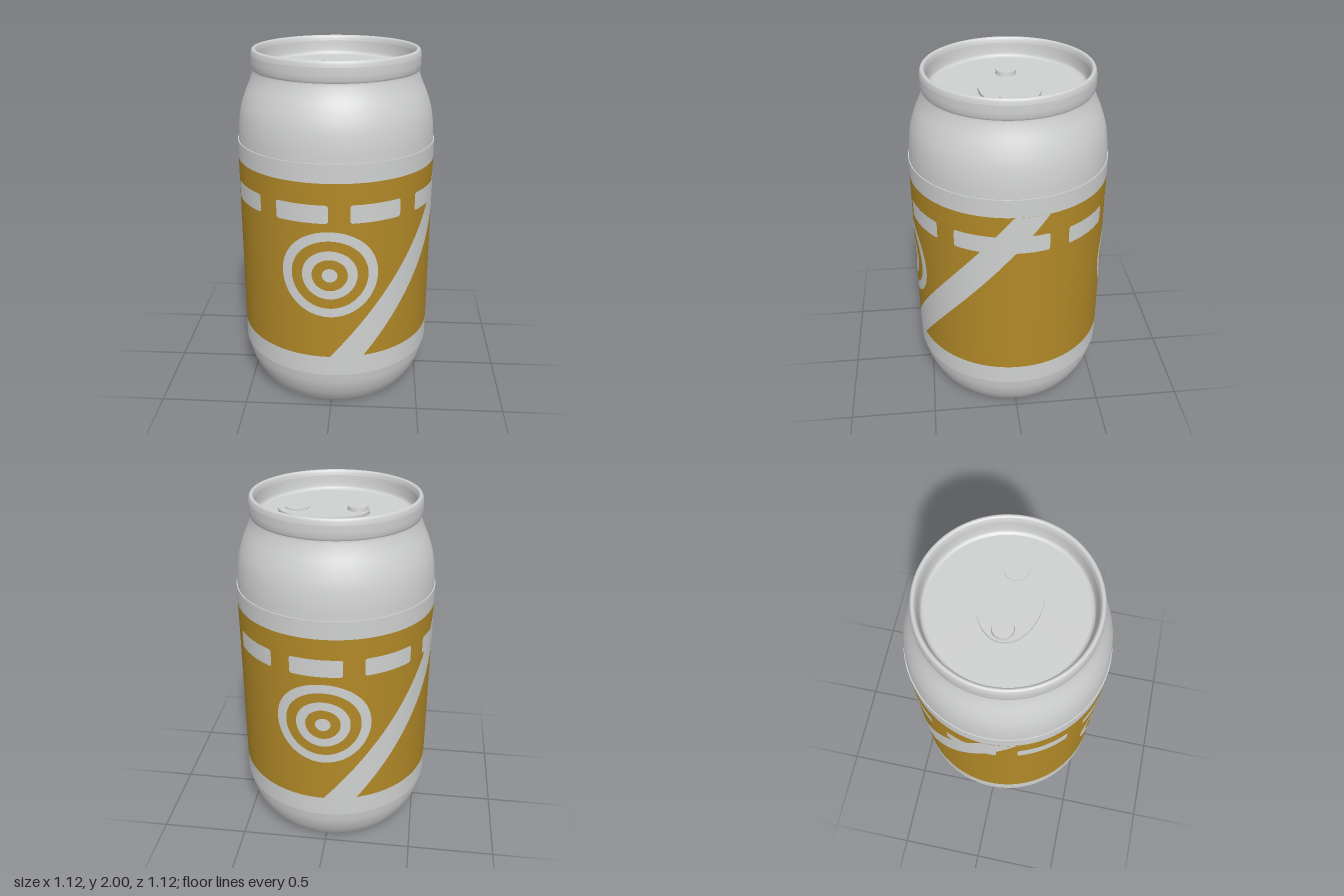
import * as THREE from 'three';

const SEGMENTS = 96;
const SLEEVE_R = 0.5588;
const PRINT_R = 0.56;
const rad = THREE.MathUtils.degToRad;

const silver = new THREE.MeshStandardMaterial({ color: 0xcfd1d0 });
silver.name = 'silver';
const gold = new THREE.MeshStandardMaterial({ color: 0xb08827 });
gold.name = 'gold';

function add(parent, name, geometry, material) {
  const mesh = new THREE.Mesh(geometry, material);
  mesh.name = name;
  parent.add(mesh);
  return mesh;
}

// Turned surface from [radius, height] pairs
function lathe(points) {
  return new THREE.LatheGeometry(points.map(([r, y]) => new THREE.Vector2(r, y)), SEGMENTS);
}

// Smooth curve through a few profile points
function smooth(points, n) {
  const curve = new THREE.SplineCurve(points.map(([r, y]) => new THREE.Vector2(r, y)));
  return curve.getPoints(n).map((p) => [p.x, p.y]);
}

// Printed patch wrapped on the sleeve; f(u, v) gives [angle, height]
function patch(f, nu, nv) {
  const pos = [], nor = [], idx = [];
  for (let j = 0; j <= nv; j++) {
    for (let i = 0; i <= nu; i++) {
      const [a, y] = f(i / nu, j / nv);
      const s = Math.sin(a), c = Math.cos(a);
      pos.push(PRINT_R * s, y, PRINT_R * c);
      nor.push(s, 0, c);
      if (i < nu && j < nv) {
        const k = j * (nu + 1) + i, m = k + nu + 1;
        idx.push(k, k + 1, m + 1, k, m + 1, m);
      }
    }
  }
  const g = new THREE.BufferGeometry();
  g.setAttribute('position', new THREE.Float32BufferAttribute(pos, 3));
  g.setAttribute('normal', new THREE.Float32BufferAttribute(nor, 3));
  g.setIndex(idx);
  return g;
}

export function createModel() {
  const can = new THREE.Group();
  can.name = 'can';

  // Shell: concave base, curved foot, shoulder, rim and recessed lid
  add(can, 'baseDome', lathe(smooth([[0, 0.17], [0.16, 0.15], [0.31, 0.1], [0.4, 0.04], [0.43, 0]], 20)), silver);
  add(can, 'baseLip', lathe([[0.43, 0], [0.442, 0]]), silver);
  add(can, 'foot', lathe(smooth([[0.442, 0], [0.464, 0.022], [0.505, 0.085], [0.537, 0.165], [0.553, 0.25]], 20)), silver);
  add(can, 'shoulder', lathe(smooth([
    [0.553, 1.5], [0.549, 1.58], [0.536, 1.67], [0.511, 1.75], [0.477, 1.83], [0.461, 1.88], [0.462, 1.895],
  ], 28)), silver);
  add(can, 'rim', lathe([[0.461, 1.888], [0.468, 1.9], [0.47, 1.93], [0.469, 1.968]]), silver);
  add(can, 'rimTop', lathe(smooth([[0.469, 1.968], [0.463, 1.993], [0.452, 2], [0.441, 1.993], [0.434, 1.97]], 14)), silver);
  add(can, 'rimInside', lathe(smooth([[0.434, 1.97], [0.43, 1.93], [0.423, 1.9], [0.408, 1.89]], 12)), silver);
  add(can, 'lid', lathe([[0.408, 1.89], [0, 1.89]]), silver);

  // Oval tab plate with a rivet and a finger dimple disc
  const tab = new THREE.Group();
  tab.name = 'tab';
  can.add(tab);
  const plate = add(tab, 'tabPlate', new THREE.CylinderGeometry(1, 1, 0.02, 64), silver);
  plate.scale.set(0.25, 1, 0.167);
  plate.position.set(0.065, 1.897, 0);
  add(tab, 'rivet', new THREE.CylinderGeometry(0.054, 0.058, 0.025, 40), silver).position.set(-0.12, 1.916, 0);
  add(tab, 'tabDisc', new THREE.CylinderGeometry(0.066, 0.066, 0.008, 40), silver).position.set(0.21, 1.909, 0);

  // Label sleeve: a gold band between two silver margins
  const label = new THREE.Group();
  label.name = 'label';
  can.add(label);
  const bands = [['lowerMargin', 0.25, 0.37, silver], ['goldBand', 0.37, 1.397, gold], ['upperMargin', 1.397, 1.5, silver]];
  for (const [name, y0, y1, material] of bands) {
    add(label, name, lathe([[SLEEVE_R, y0], [SLEEVE_R, y1]]), material);
  }
  add(label, 'lowerEdge', lathe([[0.552, 0.25], [SLEEVE_R, 0.25]]), silver);
  add(label, 'upperEdge', lathe([[SLEEVE_R, 1.5], [0.552, 1.5]]), silver);

  // Rings and a slanted stripe, printed on the front and again on the back
  const rings = [[0, 0.04], [0.092, 0.143], [0.2, 0.253]];
  for (const turn of [0, Math.PI]) {
    for (const [r0, r1] of rings) {
      add(label, 'targetRing', patch((u, v) => {
        const r = r0 + (r1 - r0) * u, t = v * Math.PI * 2;
        return [turn + r * 1.9 * Math.cos(t), 0.878 + r * Math.sin(t)];
      }, 5, 80), silver);
    }
    add(label, 'slantedStripe', patch((u, v) => [
      turn + rad(19.5 * u + 87.5 * v), 0.37 + 1.027 * v,
    ], 8, 40), silver);
  }

  // Row of dashes with clipped corners; the first starts behind the stripe
  for (let k = 0; k < 9; k++) {
    const start = k === 0 ? 84 : 77.2 + 42 * k;
    const end = 107.2 + 42 * k;
    add(label, 'dash', patch((u, v) => {
      const h = Math.min(u, 1 - u) < 0.01 ? 0.042 : 0.051;
      return [rad(start + (end - start) * u), 1.228 + h * (2 * v - 1)];
    }, 30, 1), silver);
  }

  return can;
}
